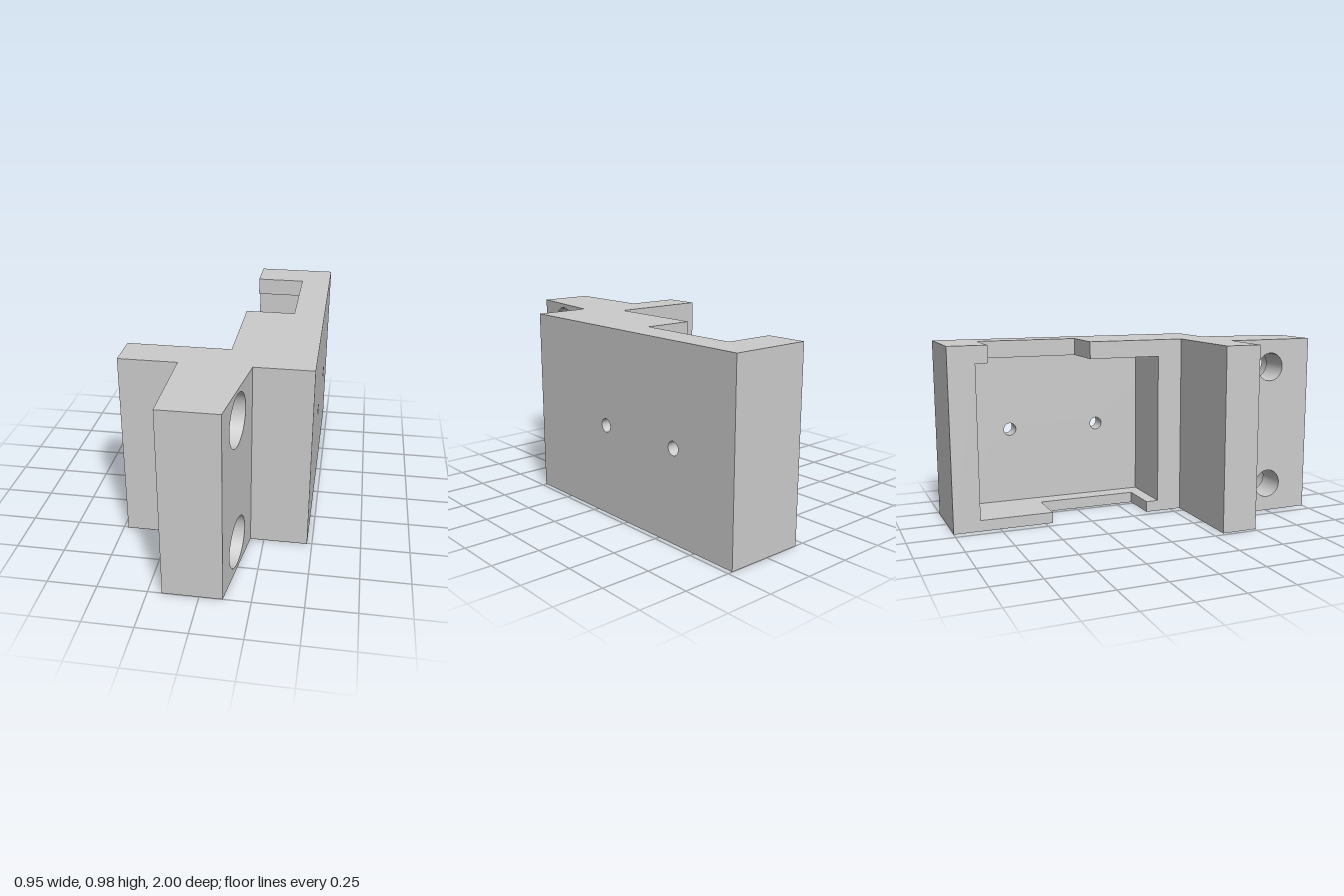
import * as THREE from 'three';

const H = 0.983; // overall height
const BACK = -1, STEP = 0.505, FRONT = 1;

// Closed outline from [z, y] points, with round holes [z, y, radius] and polygon holes.
function outline(points, round = [], cutouts = []) {
  const toVec = ([z, y]) => new THREE.Vector2(-z, y);
  // Mirroring z flips the winding, so the points are taken in reverse
  const shape = new THREE.Shape(points.map(toVec).reverse());
  for (const [z, y, r] of round) {
    shape.holes.push(new THREE.Path().absarc(-z, y, r, 0, Math.PI * 2, true));
  }
  for (const c of cutouts) shape.holes.push(new THREE.Path(c.map(toVec)));
  return shape;
}

// Slab with a z/y outline, running from x0 to x1.
function slab(shape, x0, x1) {
  const g = new THREE.ExtrudeGeometry(shape, { depth: x1 - x0, bevelEnabled: false, curveSegments: 40 });
  g.rotateY(Math.PI / 2);
  g.translate(x0, 0, 0);
  return g;
}

const rect = (z0, y0, z1, y1) => [[z0, y0], [z1, y0], [z1, y1], [z0, y1]];

export function createModel() {
  const group = new THREE.Group();
  const grey = new THREE.MeshStandardMaterial({ color: 0xcccccc });
  grey.name = 'plain grey';
  const add = (name, geometry) => {
    const mesh = new THREE.Mesh(geometry, grey);
    mesh.name = name;
    group.add(mesh);
  };

  // Back plate of the holder with two small screw holes
  const body = rect(BACK, 0, STEP, H);
  add('backPlate', slab(outline(body, [[-0.085, 0.476, 0.035], [-0.602, 0.476, 0.035]]), 0.38, 0.475));

  // Walls around the pocket, with a wide notch through the top and another through the bottom
  const p0 = -0.856, p1 = 0.17, yLow = 0.06, yHigh = 0.89;
  const t0 = -0.79, t1 = -0.233; // top notch
  const b0 = -0.458, b1 = 0.1;   // bottom notch
  add('pocketRim', slab(outline(body, [], [rect(p0, yLow, p1, yHigh)]), 0.312, 0.38));
  add('notchedRim', slab(outline([
    [BACK, 0], [STEP, 0], [STEP, H], [t1, H], [t1, yHigh], [p1, yHigh],
    [p1, yLow], [p0, yLow], [p0, yHigh], [t0, yHigh], [t0, H], [BACK, H],
  ]), 0.277, 0.312));
  add('rearJaw', slab(outline([
    [BACK, 0], [b0, 0], [b0, yLow], [p0, yLow], [p0, yHigh], [t0, yHigh], [t0, H], [BACK, H],
  ]), 0.05, 0.277));
  add('frontJaw', slab(outline([
    [b1, 0], [STEP, 0], [STEP, H], [t1, H], [t1, yHigh], [p1, yHigh], [p1, yLow], [b1, yLow],
  ]), 0.05, 0.277));

  // Side flange
  add('sideFlange', slab(outline(rect(0.31, 0, STEP, H)), -0.477, 0.05));

  // Mounting leg: through holes on one side, counterbores on the sloping side
  const leg = rect(STEP, 0, FRONT, H);
  const holes = (r) => [[0.755, 0.158, r], [0.755, 0.829, r]];
  const seat = -0.01;
  add('legThroughHoles', slab(outline(leg, holes(0.078)), -0.18, seat));

  const tapered = slab(outline(leg, holes(0.132)), seat, 0.18);
  const pos = tapered.attributes.position;
  for (let i = 0; i < pos.count; i++) {
    if (pos.getX(i) > 0.1) pos.setX(i, 0.18 - 0.066 * (pos.getZ(i) - STEP) / (FRONT - STEP));
  }
  tapered.computeVertexNormals();
  add('legCounterbores', tapered);

  return group;
}
